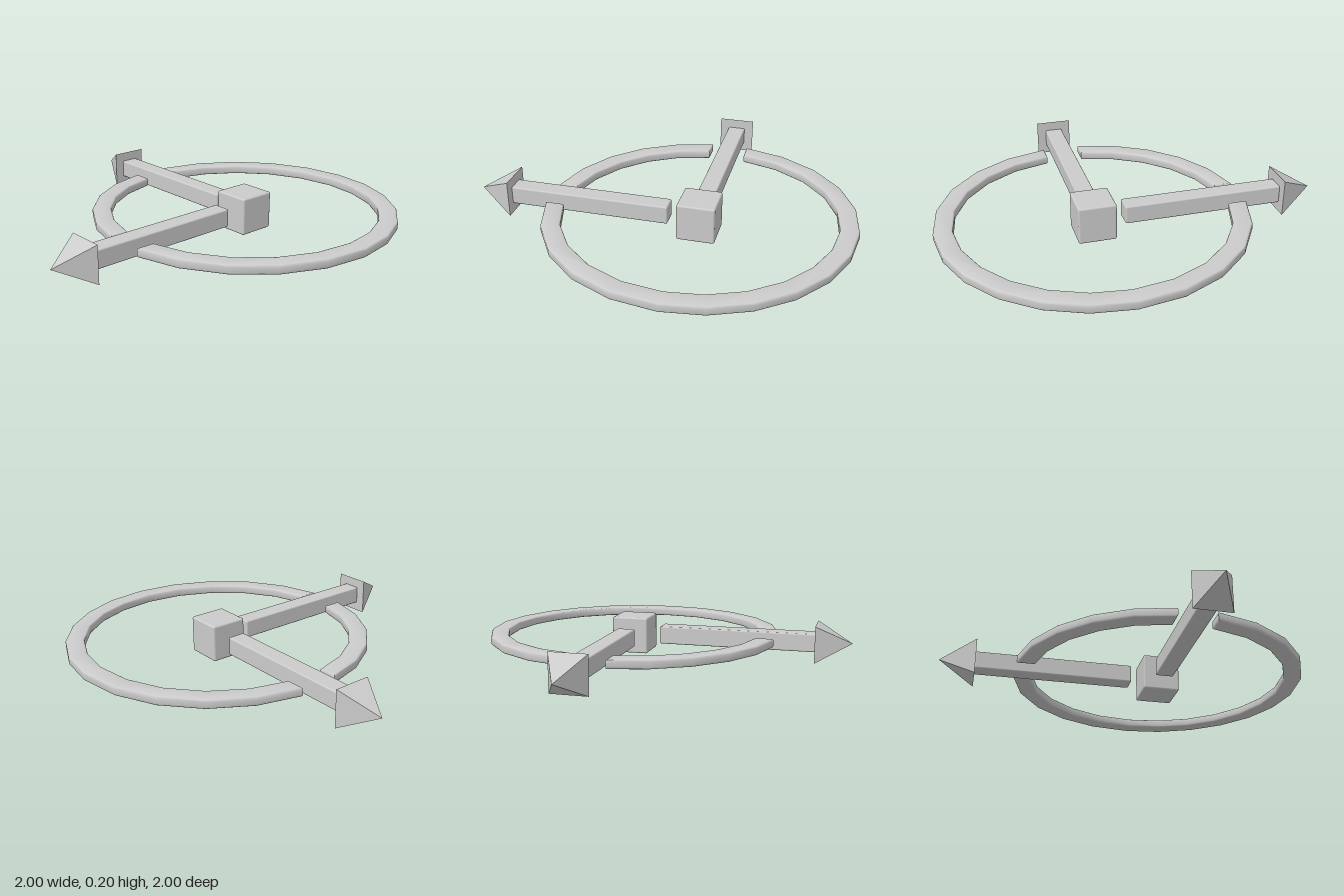
import * as THREE from 'three';
import { RoundedBoxGeometry } from 'three/addons/geometries/RoundedBoxGeometry.js';
import { toCreasedNormals } from 'three/addons/utils/BufferGeometryUtils.js';

const material = new THREE.MeshStandardMaterial({ color: 0xcccccc });
const flatMaterial = new THREE.MeshStandardMaterial({ color: 0xcccccc, flatShading: true });

const OUTER = 0.8, INNER = 0.703, GAP = 0.1;
const BEVEL = 0.01;

function addMesh(parent, name, geometry, mat = material) {
  const mesh = new THREE.Mesh(geometry, mat);
  mesh.name = name;
  parent.add(mesh);
  return mesh;
}

// Arrow pointing along -x: bar with a four-sided head
function makeArrow(name) {
  const arrow = new THREE.Group();
  arrow.name = name;
  const shaft = addMesh(arrow, 'shaft', new RoundedBoxGeometry(0.852, 0.097, 0.097, 2, 0.008));
  shaft.position.x = -0.584;
  const head = new THREE.ConeGeometry(0.098 * Math.SQRT2, 0.19, 4);
  head.rotateY(Math.PI / 4);
  head.rotateZ(Math.PI / 2);
  addMesh(arrow, 'arrowHead', head, flatMaterial).position.x = -1.103;
  return arrow;
}

// Ring piece between clock angles (from the back, towards +x).
// spans: [start, end, segments] in radians, for a given radius
function makeArc(spansFor) {
  const edge = (radius) => {
    const points = [];
    spansFor(Math.asin(GAP / radius)).forEach(([a, b, n], s) => {
      for (let i = s ? 1 : 0; i <= n; i++) {
        const t = a + ((b - a) * i) / n;
        points.push(new THREE.Vector2(Math.sin(t) * radius, Math.cos(t) * radius));
      }
    });
    return points;
  };
  const shape = new THREE.Shape([...edge(OUTER), ...edge(INNER).reverse()]);
  const geometry = new THREE.ExtrudeGeometry(shape, {
    depth: 0.028, bevelEnabled: true, bevelThickness: BEVEL,
    bevelSize: BEVEL, bevelOffset: -BEVEL, bevelSegments: 3,
  });
  geometry.translate(0, 0, -0.014);
  geometry.rotateX(-Math.PI / 2);
  return toCreasedNormals(geometry, 0.7);
}

export function createModel() {
  const model = new THREE.Group();
  model.name = 'planeHandle';
  const pivot = new THREE.Group();
  pivot.name = 'handleParts';
  pivot.position.set(0.198, 0.1, 0.198);
  model.add(pivot);

  // Central cube
  addMesh(pivot, 'centreCube', new RoundedBoxGeometry(0.198, 0.198, 0.198, 2, 0.01));

  // Two arrows at right angles
  pivot.add(makeArrow('sideArrow'));
  const backArrow = makeArrow('backArrow');
  backArrow.rotation.y = -Math.PI / 2;
  pivot.add(backArrow);

  // Ring, interrupted where the arrows pass through
  const q = Math.PI / 2;
  addMesh(pivot, 'longRingArc', makeArc((g) => [[g, q, 5], [q, 2 * q, 6], [2 * q, 3 * q - g, 5]]));
  addMesh(pivot, 'shortRingArc', makeArc((g) => [[3 * q + g, 4 * q - g, 5]]));

  return model;
}
